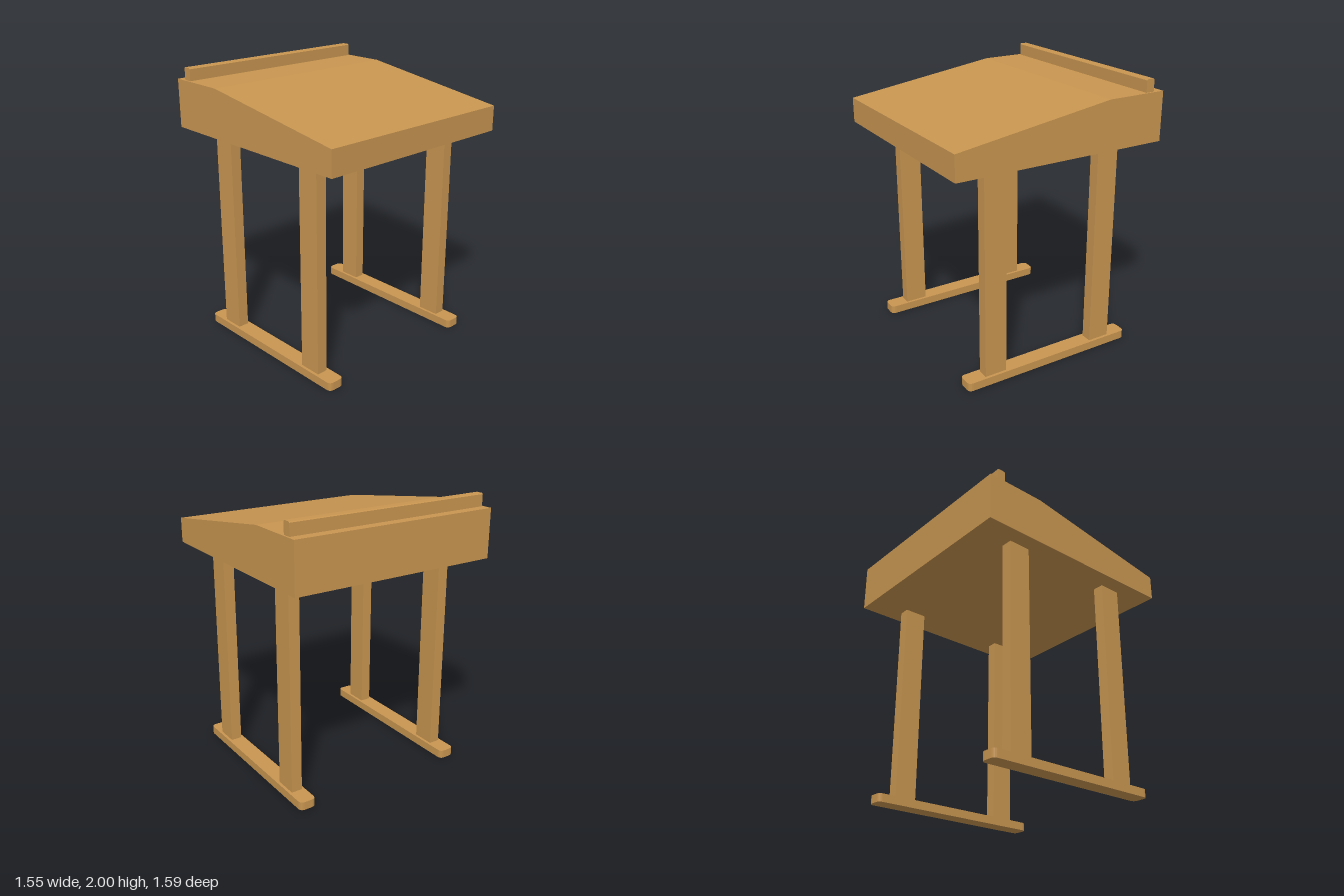
import * as THREE from 'three';

// Extrudes a side profile of [z, y] points along x, centred on x = 0
function extrudeAcross(points, width) {
  const shape = new THREE.Shape(points.map(([z, y]) => new THREE.Vector2(-z, y)));
  const geo = new THREE.ExtrudeGeometry(shape, { depth: width, bevelEnabled: false });
  geo.translate(0, 0, -width / 2);
  geo.rotateY(Math.PI / 2);
  return geo;
}

// Flat plank lying on the ground with rounded corners in plan
function roundedPlank(width, length, height, r) {
  const w = width / 2, l = length / 2;
  const s = new THREE.Shape();
  s.moveTo(-w + r, -l);
  s.lineTo(w - r, -l);
  s.quadraticCurveTo(w, -l, w, -l + r);
  s.lineTo(w, l - r);
  s.quadraticCurveTo(w, l, w - r, l);
  s.lineTo(-w + r, l);
  s.quadraticCurveTo(-w, l, -w, l - r);
  s.lineTo(-w, -l + r);
  s.quadraticCurveTo(-w, -l, -w + r, -l);
  const geo = new THREE.ExtrudeGeometry(s, { depth: height, bevelEnabled: false, curveSegments: 5 });
  geo.rotateX(-Math.PI / 2);
  return geo;
}

export function createModel() {
  const group = new THREE.Group();
  const wood = new THREE.MeshStandardMaterial({ color: 0xc89550 });
  wood.name = 'warm wood';

  const add = (name, geo, x = 0, y = 0, z = 0) => {
    const mesh = new THREE.Mesh(geo, wood);
    mesh.name = name;
    mesh.position.set(x, y, z);
    group.add(mesh);
  };

  // Sloped desk box with a flat strip at the back
  add('deskBox', extrudeAcross([
    [0.795, 1.56], [0.795, 1.74], [-0.35, 1.91], [-0.795, 1.91], [-0.795, 1.56],
  ].reverse(), 1.552));

  // Rail along the back, with slightly eased top edges
  add('backRail', extrudeAcross([
    [-0.66, 1.91], [-0.66, 1.993], [-0.667, 2], [-0.716, 2], [-0.723, 1.993], [-0.723, 1.91],
  ].reverse(), 1.524));

  // Two legs standing on a rounded foot at each side
  const footGeo = roundedPlank(0.122, 1.345, 0.06, 0.035);
  const legGeo = new THREE.BoxGeometry(0.08, 1.5, 0.165);
  for (const [side, x] of [['left', 0.62], ['right', -0.62]]) {
    add(side + 'Foot', footGeo, x);
    add(side + 'FrontLeg', legGeo, x, 0.81, 0.447);
    add(side + 'BackLeg', legGeo, x, 0.81, -0.443);
  }
  return group;
}
